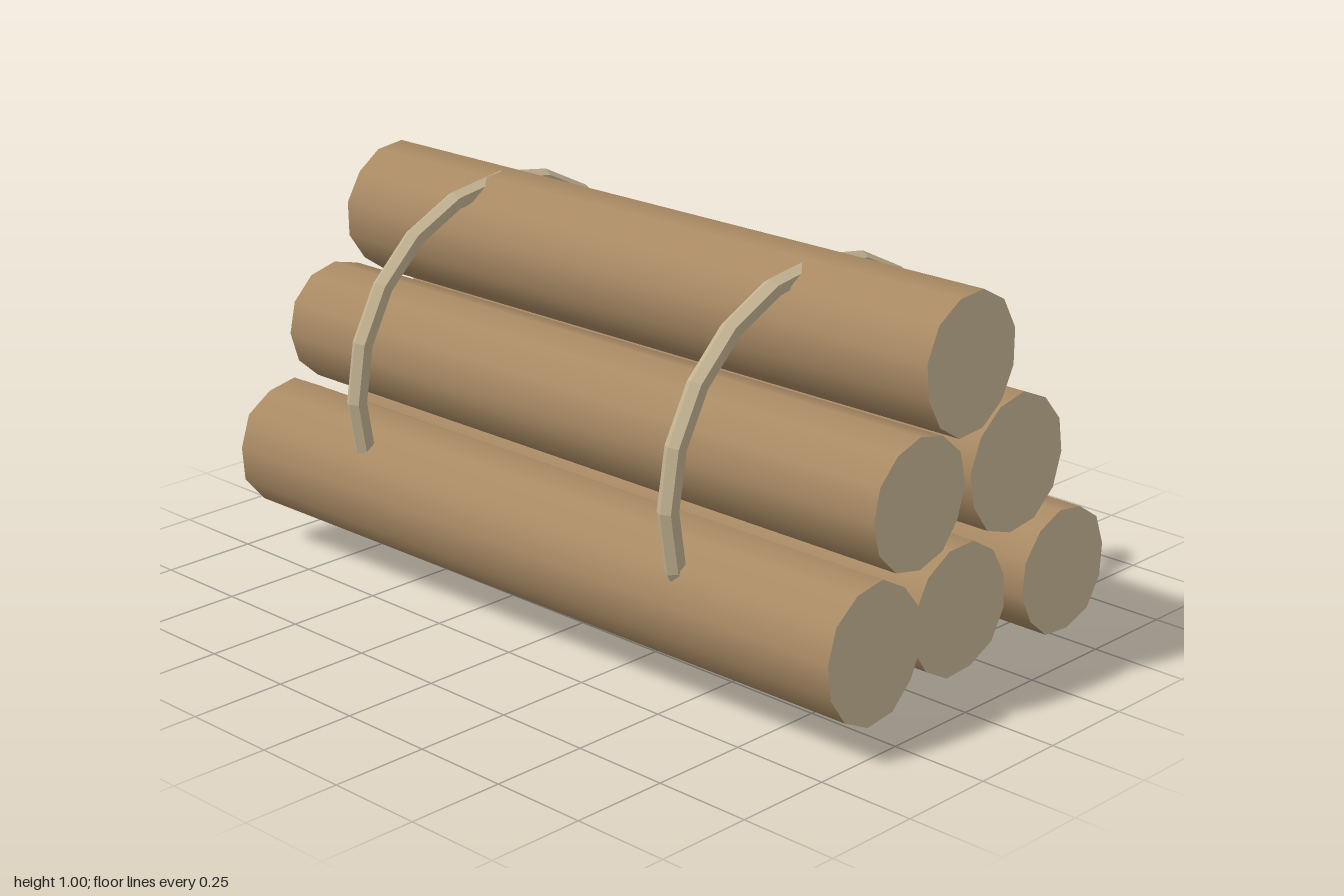
import * as THREE from 'three';

const SIDES = 12;
const bark = new THREE.MeshStandardMaterial({ color: 0xa98a64 });
const cutWood = new THREE.MeshStandardMaterial({ color: 0xcdba98 });
const rope = new THREE.MeshStandardMaterial({ color: 0xc4b492 });

// Repeatable value from 0 to 1 for an integer
const hash = (n) => {
  const s = Math.sin(n * 12.9898 + 4.1) * 43758.5453;
  return s - Math.floor(s);
};

// Each log: x, y, z of its two end centres, then its half height and half depth
const LOGS = [
  { name: 'bottomFrontLog', from: [-0.975, 0.26, 0.362], to: [0.995, 0.247, 0.323], ry: 0.17, rz: 0.163 },
  { name: 'bottomMiddleLog', from: [-0.97, 0.25, -0.022], to: [0.97, 0.245, -0.005], ry: 0.162, rz: 0.167 },
  { name: 'bottomBackLog', from: [-0.94, 0.245, -0.358], to: [0.99, 0.245, -0.367], ry: 0.16, rz: 0.157 },
  { name: 'middleFrontLog', from: [-1, 0.546, 0.168], to: [0.975, 0.552, 0.157], ry: 0.16, rz: 0.159 },
  { name: 'middleBackLog', from: [-0.93, 0.552, -0.186], to: [0.965, 0.55, -0.203], ry: 0.17, rz: 0.174 },
  { name: 'topLog', from: [-0.97, 0.827, -0.01], to: [0.97, 0.833, -0.015], ry: 0.17, rz: 0.157 },
];

// A log along x with a slightly irregular outline at each end
function makeLog({ name, from, to, ry, rz }, seed) {
  const geometry = new THREE.CylinderGeometry(1, 1, 2, SIDES, 1);
  geometry.rotateY(seed * 0.4);
  geometry.rotateZ(-Math.PI / 2);
  const p = geometry.attributes.position;
  for (let i = 0; i < p.count; i++) {
    const isRight = p.getX(i) > 0;
    const end = isRight ? to : from;
    const angle = Math.atan2(p.getZ(i), p.getY(i)) - seed * 0.4;
    const step = Math.round((angle / (Math.PI * 2)) * SIDES + 10 * SIDES) % SIDES;
    const wobble = 0.965 + 0.065 * hash(seed * 40 + step + (isRight ? 0 : 20));
    p.setXYZ(i, end[0], end[1] + p.getY(i) * ry * wobble, end[2] + p.getZ(i) * rz * wobble);
  }
  const log = new THREE.Mesh(geometry, [bark, cutWood, cutWood]);
  log.name = name;
  return log;
}

// A faceted hoop around the stack, a little wider than tall
function makeBand(name, x) {
  const geometry = new THREE.TorusGeometry(0.493, 0.027, 6, 20).toNonIndexed();
  geometry.scale(1, 0.957, 0.95);
  geometry.rotateY(Math.PI / 2);
  geometry.computeVertexNormals();
  const band = new THREE.Mesh(geometry, rope);
  band.name = name;
  band.position.set(x, 0.498, -0.01);
  return band;
}

export function createModel() {
  const model = new THREE.Group();
  model.name = 'logBundle';
  LOGS.forEach((log, i) => model.add(makeLog(log, i + 1)));
  model.add(makeBand('rightBand', -0.555), makeBand('leftBand', 0.515));
  return model;
}
